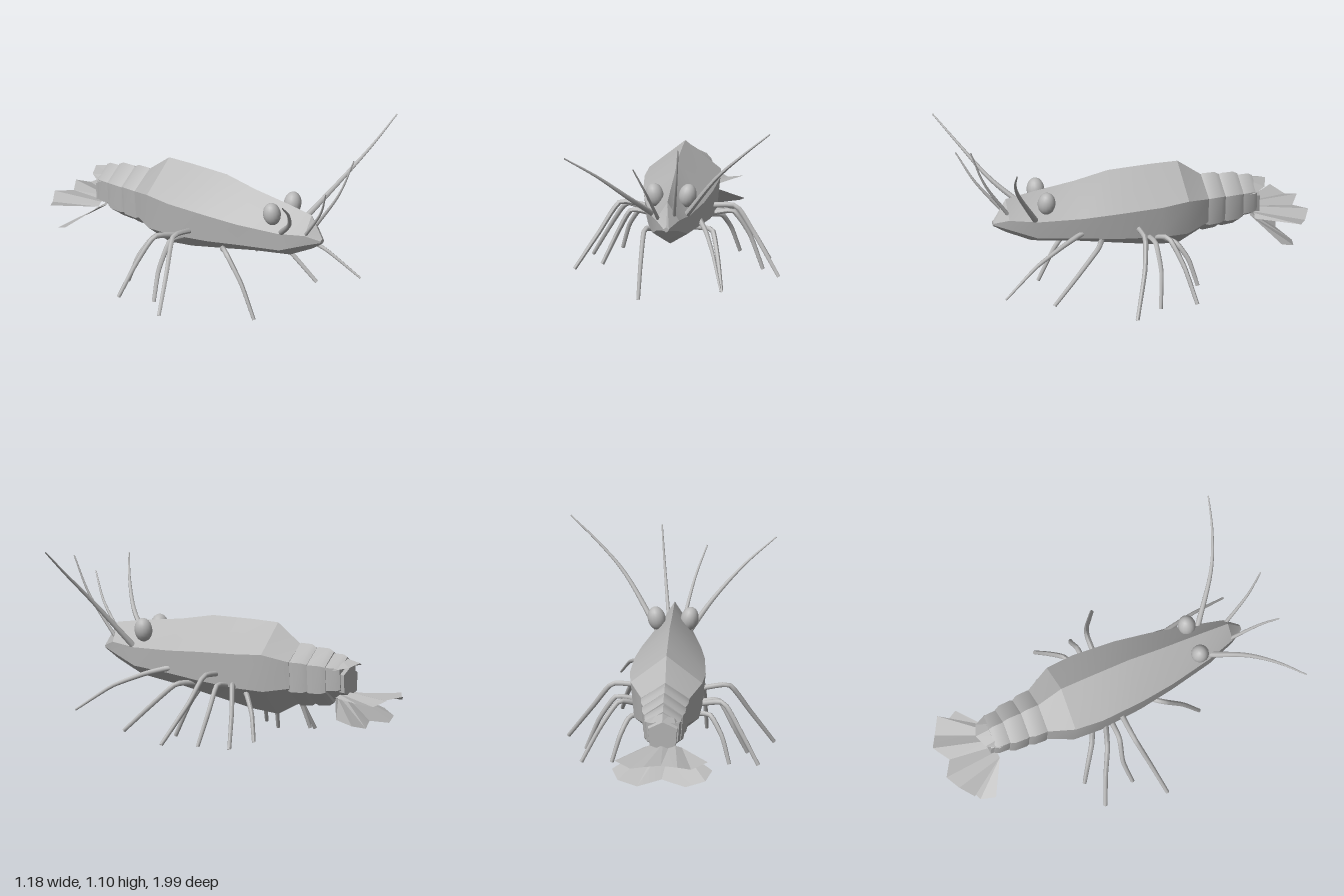
import * as THREE from 'three';
import { toCreasedNormals } from 'three/addons/utils/BufferGeometryUtils.js';

const shell = new THREE.MeshStandardMaterial({ color: 0xb8b8b8, side: THREE.DoubleSide });
shell.name = 'greyShell';

function add(group, name, geometry) {
  const mesh = new THREE.Mesh(geometry, shell);
  mesh.name = name;
  group.add(mesh);
  return mesh;
}

function buildGeometry(points, index, crease) {
  const g = new THREE.BufferGeometry();
  g.setAttribute('position', new THREE.Float32BufferAttribute(points.flat(), 3));
  g.setIndex(index);
  return toCreasedNormals(g, crease);
}

// Six-sided sections running front to back: [z, yTop, halfWidth, yUpper, yLower, yBottom]
function loft(sections, crease = 0.5) {
  const points = [], index = [], n = 6;
  for (const [z, top, w, up, low, bottom] of sections) {
    points.push([0, top, z], [-w, up, z], [-w * 0.9, low, z], [0, bottom, z], [w * 0.9, low, z], [w, up, z]);
  }
  for (let i = 0; i < sections.length - 1; i++) {
    for (let j = 0; j < n; j++) {
      const a = i * n + j, b = i * n + (j + 1) % n;
      index.push(a, a + n, b + n, a, b + n, b);
    }
  }
  const last = (sections.length - 1) * n;
  for (let j = 1; j < n - 1; j++) index.push(0, j, j + 1, last, last + j + 1, last + j);
  return buildGeometry(points, index, crease);
}

// Bevelled abdomen ring between two z values
function ring(z0, z1, top, w, up, low, bottom) {
  const mid = (top + bottom) / 2;
  const at = (z, s) => [z, ...[top, w, up, low, bottom].map((v, i) => (i === 1 ? v * s : mid + (v - mid) * s))];
  const d = (z1 - z0) * 0.22;
  return loft([at(z0, 0.92), at(z0 + d, 1), at(z1 - d, 0.98), at(z1, 0.88)]);
}

// Tube through points, narrowing from r0 to r1
function taperedTube(points, r0, r1, tension) {
  const path = points.map(p => new THREE.Vector3(...p));
  const curve = new THREE.CatmullRomCurve3(path, false, 'catmullrom', tension);
  const steps = 16, sides = 8;
  const g = new THREE.TubeGeometry(curve, steps, r0, sides);
  const pos = g.attributes.position, v = new THREE.Vector3();
  for (let i = 0; i <= steps; i++) {
    const c = curve.getPointAt(i / steps);
    const s = THREE.MathUtils.lerp(1, r1 / r0, i / steps);
    for (let j = 0; j <= sides; j++) {
      const k = i * (sides + 1) + j;
      v.fromBufferAttribute(pos, k).sub(c).multiplyScalar(s).add(c);
      pos.setXYZ(k, v.x, v.y, v.z);
    }
  }
  g.computeVertexNormals();
  return g;
}

// Pleated sheet between a root edge and a rim; both list the +x half from the centre outward
function sheet(root, rim) {
  const mirror = half => [...half.slice(1).reverse().map(([x, y, z]) => [-x, y, z]), ...half];
  const a = mirror(root), b = mirror(rim), n = a.length, index = [];
  for (let i = 0; i < n - 1; i++) index.push(i, i + 1, i + 1 + n, i, i + 1 + n, i + n);
  return buildGeometry([...a, ...b], index, 0.15);
}

export function createModel() {
  const model = new THREE.Group();
  model.name = 'shrimp';

  // Ridged carapace
  add(model, 'carapace', loft([
    [0.83, 0.53, 0.015, 0.52, 0.51, 0.5],
    [0.755, 0.655, 0.065, 0.55, 0.49, 0.45],
    [0.6, 0.675, 0.11, 0.535, 0.43, 0.37],
    [0.35, 0.70, 0.165, 0.54, 0.41, 0.325],
    [0.15, 0.733, 0.195, 0.55, 0.385, 0.28],
    [-0.1, 0.728, 0.212, 0.555, 0.36, 0.225],
    [-0.26, 0.72, 0.2, 0.56, 0.35, 0.205],
    [-0.4, 0.61, 0.135, 0.52, 0.37, 0.275],
  ], 0.4));

  // Abdomen
  const abdomen = new THREE.Group();
  abdomen.name = 'abdomen';
  model.add(abdomen);
  add(abdomen, 'firstRing', ring(-0.38, -0.505, 0.615, 0.135, 0.52, 0.35, 0.262));
  add(abdomen, 'secondRing', ring(-0.49, -0.615, 0.598, 0.123, 0.51, 0.35, 0.27));
  add(abdomen, 'thirdRing', ring(-0.595, -0.7, 0.57, 0.105, 0.5, 0.37, 0.31));
  add(abdomen, 'tailStub', loft([
    [-0.66, 0.53, 0.09, 0.48, 0.37, 0.33],
    [-0.72, 0.5, 0.08, 0.46, 0.36, 0.335],
  ]));
  add(abdomen, 'tailCover', sheet(
    [[0, 0.565, -0.62], [0.06, 0.53, -0.62], [0.095, 0.49, -0.62]],
    [[0, 0.525, -0.78], [0.07, 0.505, -0.75], [0.108, 0.49, -0.68]]));

  // Two-layer tail fan
  add(model, 'upperTailFan', sheet(
    [[0, 0.36, -0.69], [0.035, 0.345, -0.69], [0.07, 0.35, -0.69], [0.105, 0.335, -0.68]],
    [[0, 0.325, -0.94], [0.095, 0.338, -1], [0.17, 0.31, -0.955], [0.26, 0.335, -0.9]]));
  add(model, 'lowerTailFan', sheet(
    [[0, 0.33, -0.68], [0.035, 0.32, -0.68], [0.07, 0.325, -0.68], [0.105, 0.33, -0.68]],
    [[0, 0.205, -0.84], [0.135, 0.18, -0.89], [0.245, 0.205, -0.86], [0.28, 0.24, -0.78]]));

  // Egg-shaped eyes leaning outward
  for (const s of [1, -1]) {
    const eye = add(model, s > 0 ? 'leftEye' : 'rightEye', new THREE.SphereGeometry(0.05, 16, 12));
    eye.scale.set(1, 1.35, 1);
    eye.position.set(s * 0.092, 0.635, 0.545);
    eye.rotation.z = -s * 0.2;
  }

  // Antennae
  const antennae = {
    leftAntenna: [[0.09, 0.54, 0.61], [0.27, 0.8, 0.77], [0.43, 0.965, 0.85], [0.587, 1.105, 0.895]],
    rightAntenna: [[-0.09, 0.54, 0.61], [-0.22, 0.68, 0.77], [-0.38, 0.83, 0.89], [-0.555, 0.96, 0.99]],
    leftAntennule: [[0.035, 0.57, 0.75], [0.062, 0.8, 0.9], [0.082, 1.022, 0.99]],
    rightAntennule: [[-0.05, 0.55, 0.75], [-0.105, 0.74, 0.9], [-0.17, 0.905, 0.99]],
  };
  for (const [name, points] of Object.entries(antennae)) {
    add(model, name, taperedTube(points, name.endsWith('Antenna') ? 0.017 : 0.011, 0.004, 0.5));
  }

  // Legs: hip, knee, shin, foot
  const legs = {
    leftFrontFeeler: [[0.14, 0.44, 0.35], [0.19, 0.405, 0.48], [0.245, 0.33, 0.66], [0.305, 0.19, 0.86]],
    leftFrontLeg: [[0.1, 0.36, 0.22], [0.205, 0.36, 0.28], [0.25, 0.23, 0.42], [0.283, 0.09, 0.565]],
    leftSecondLeg: [[0.14, 0.43, 0.03], [0.315, 0.435, 0.04], [0.42, 0.29, 0.08], [0.565, 0.07, 0.175]],
    leftThirdLeg: [[0.13, 0.36, -0.03], [0.29, 0.385, -0.03], [0.385, 0.25, -0.03], [0.46, 0.06, 0]],
    leftFourthLeg: [[0.13, 0.34, -0.05], [0.27, 0.39, -0.115], [0.375, 0.25, -0.17], [0.477, 0.06, -0.21]],
    leftBackLeg: [[0.12, 0.33, -0.12], [0.21, 0.32, -0.18], [0.26, 0.23, -0.235], [0.305, 0.085, -0.272]],
    rightFrontLeg: [[-0.1, 0.33, 0.2], [-0.175, 0.355, 0.28], [-0.185, 0.2, 0.4], [-0.19, 0.008, 0.495]],
    rightSecondLeg: [[-0.14, 0.41, 0.03], [-0.335, 0.44, 0.035], [-0.45, 0.27, 0.08], [-0.582, 0.07, 0.13]],
    rightThirdLeg: [[-0.13, 0.35, -0.03], [-0.28, 0.375, -0.03], [-0.365, 0.22, -0.045], [-0.44, 0.06, -0.02]],
    rightFourthLeg: [[-0.13, 0.35, -0.05], [-0.31, 0.39, -0.115], [-0.41, 0.24, -0.17], [-0.51, 0.06, -0.215]],
    rightBackLeg: [[-0.12, 0.33, -0.12], [-0.24, 0.34, -0.18], [-0.31, 0.23, -0.235], [-0.35, 0.085, -0.272]],
  };
  for (const [name, points] of Object.entries(legs)) {
    add(model, name, taperedTube(points, 0.016, name.endsWith('Feeler') ? 0.006 : 0.011, 0.25));
  }
  return model;
}
